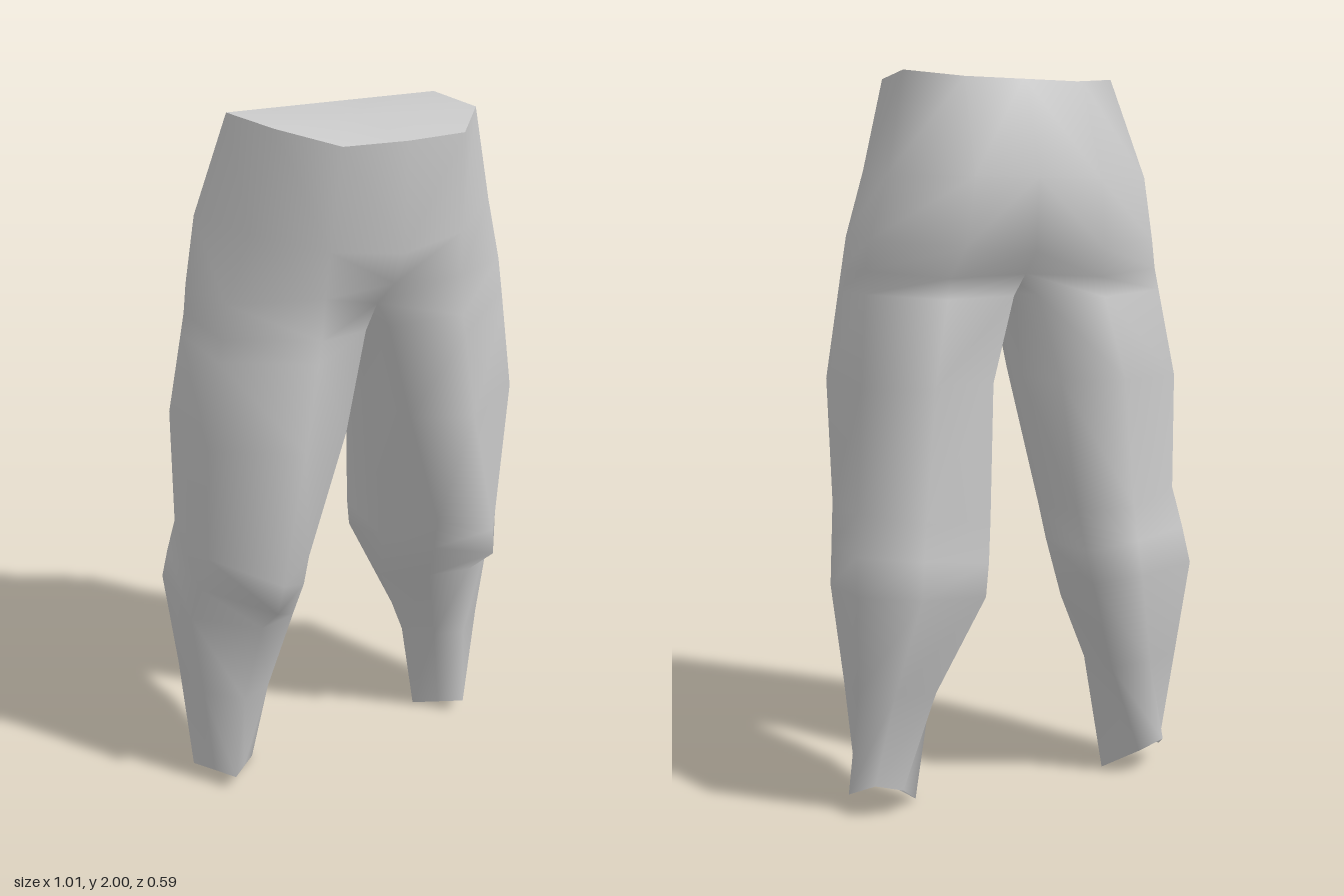
import * as THREE from 'three';
import { mergeVertices } from 'three/addons/utils/BufferGeometryUtils.js';

// Half cross-sections (x >= 0), running from centre front round the outside to centre back
const hipRings = [
  [[0, 1.97, 0.295], [0.17, 1.97, 0.278], [0.285, 2, 0.15], [0.305, 2, -0.085], [0.17, 1.98, -0.18], [0, 1.98, -0.18]],
  [[0, 1.69, 0.285], [0.19, 1.71, 0.25], [0.35, 1.75, 0.13], [0.375, 1.73, -0.16], [0.18, 1.72, -0.275], [0, 1.72, -0.275]],
  [[0, 1.60, 0.24], [0.2, 1.59, 0.24], [0.41, 1.57, 0.105], [0.42, 1.56, -0.13], [0.2, 1.54, -0.26], [0, 1.53, -0.26]],
];

// Leg cross-sections: same order, plus one inner-thigh point that closes the loop
const crotch = [[0, 1.52, 0.15], [0.21, 1.48, 0.24], [0.425, 1.48, 0.105], [0.43, 1.48, -0.13], [0.22, 1.46, -0.2], [0, 1.47, -0.19], [0, 1.47, -0.02]];
const thigh = [[0.10, 1.18, 0.165], [0.26, 1.18, 0.243], [0.475, 1.18, 0.1], [0.465, 1.18, -0.19], [0.28, 1.18, -0.245], [0.1, 1.18, -0.205], [0.065, 1.18, -0.02]];
const kneeTop = [[0.21, 0.82, 0.15], [0.335, 0.81, 0.25], [0.475, 0.84, 0.06], [0.475, 0.85, -0.175], [0.31, 0.82, -0.25], [0.13, 0.82, -0.255], [0.12, 0.80, -0.02]];
const knee = [[0.215, 0.72, 0.125], [0.35, 0.72, 0.235], [0.49, 0.73, 0.025], [0.49, 0.74, -0.21], [0.32, 0.72, -0.258], [0.145, 0.71, -0.28], [0.135, 0.70, -0.04]];
const calf = [[0.23, 0.60, 0.08], [0.345, 0.61, 0.12], [0.505, 0.62, -0.01], [0.5, 0.64, -0.24], [0.33, 0.62, -0.267], [0.16, 0.62, -0.295], [0.16, 0.54, -0.09]];
const shin = [[0.29, 0.34, 0.025], [0.38, 0.34, 0.055], [0.475, 0.35, -0.02], [0.485, 0.36, -0.19], [0.39, 0.35, -0.215], [0.27, 0.34, -0.205], [0.245, 0.32, -0.1]];

const lerp = (a, b, t) => a.map((v, k) => v + (b[k] - v) * t);

// Just under the crotch the legs part: blend towards the thigh and open a small gap
const gusset = crotch.map((p, i) => {
  const [x, y, z] = lerp(p, thigh[i], 0.2);
  return [Math.max(x, 0.035), y, z];
});

// The hem has five corners; its two straight front edges are split in the middle
const front = [0.407, 0.05, 0.03], outer = [0.49, 0.045, -0.1], inner = [0.295, 0, -0.1];
const hem = [lerp(inner, front, 0.5), front, lerp(front, outer, 0.5), outer, [0.445, 0.10, -0.2], [0.365, 0.075, -0.2], inner];

// Joins two neighbouring rings with triangles
function bridge(tris, upper, lower, closed) {
  const n = Math.min(upper.length, lower.length);
  for (let i = 0; i < (closed ? n : n - 1); i++) {
    const j = (i + 1) % n;
    tris.push([upper[i], lower[i], upper[j]], [upper[j], lower[i], lower[j]]);
  }
}

// Mirrors triangles to the other side, welds them and smooths the normals
function mirroredGeometry(tris) {
  const flip = ([x, y, z]) => [-x, y, z];
  const both = tris.concat(tris.map(([a, b, c]) => [flip(a), flip(c), flip(b)]));
  const geometry = new THREE.BufferGeometry();
  // adding 0 turns negative zero into plain zero so the centre line welds
  geometry.setAttribute('position', new THREE.Float32BufferAttribute(both.flat(2).map(v => v + 0), 3));
  const welded = mergeVertices(geometry, 1e-4);
  welded.computeVertexNormals();
  return welded;
}

export function createModel() {
  const model = new THREE.Group();
  model.name = 'trousers';
  // Double-sided because the hems are open
  const grey = new THREE.MeshStandardMaterial({ color: 0xcccccc, side: THREE.DoubleSide });
  grey.name = 'light grey';

  const add = (name, tris) => {
    const mesh = new THREE.Mesh(mirroredGeometry(tris), grey);
    mesh.name = name;
    model.add(mesh);
  };

  // Hips and both legs form one continuous smooth skin
  const skin = [];
  const hips = [...hipRings, crotch];
  const leg = [crotch, gusset, thigh, kneeTop, knee, calf, shin, hem];
  for (let i = 0; i < hips.length - 1; i++) bridge(skin, hips[i], hips[i + 1], false);
  for (let i = 0; i < leg.length - 1; i++) bridge(skin, leg[i], leg[i + 1], true);
  add('hipsAndLegs', skin);

  // Closure at the waist, kept separate for a crisp edge
  const waist = hipRings[0];
  add('waistCap', waist.slice(1).map((p, i) => [[0, 1.985, 0.04], waist[i], p]));

  return model;
}
